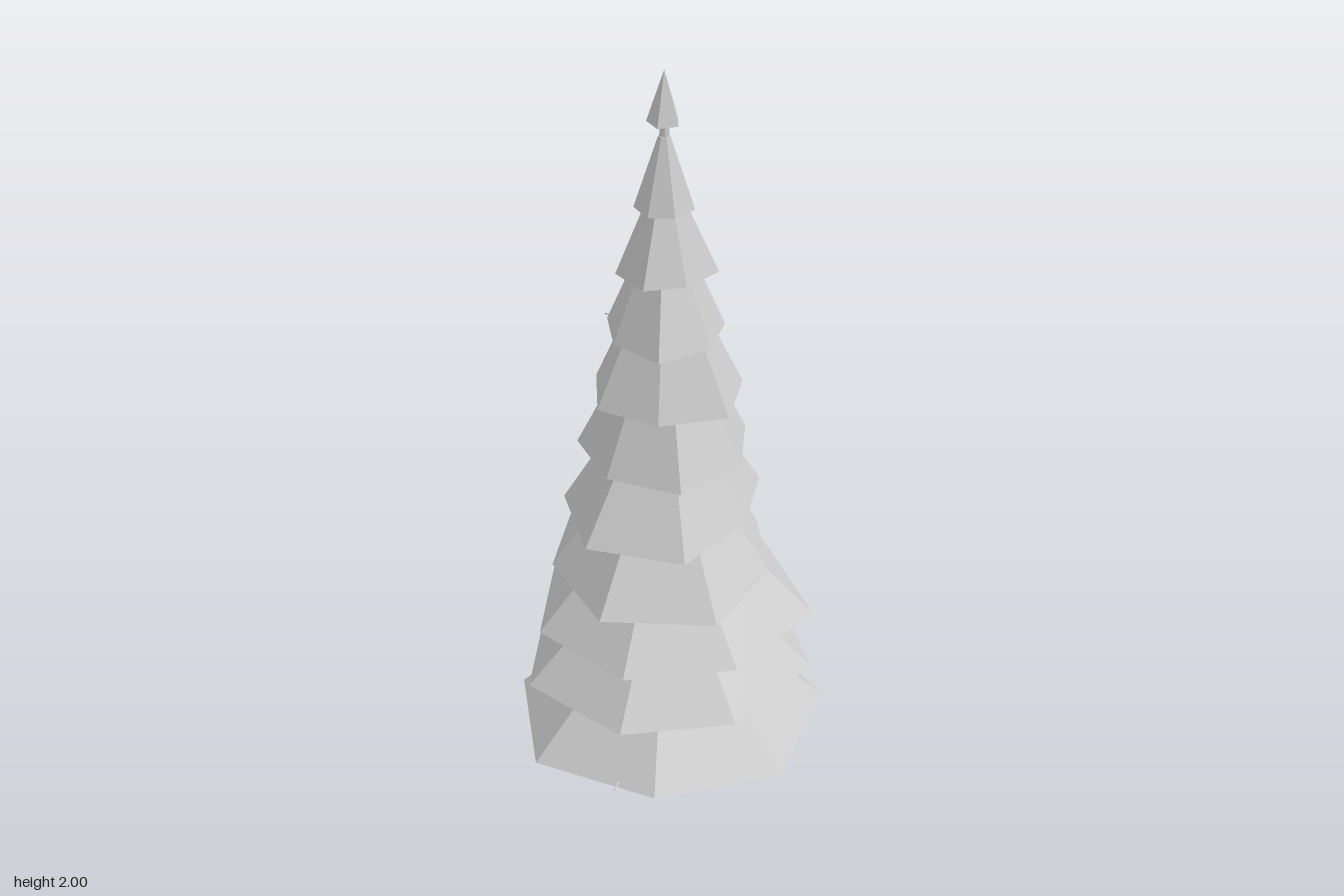
import * as THREE from 'three';

const CX = -0.025, CZ = 0.02; // trunk axis
const mat = new THREE.MeshStandardMaterial({ color: 0xcccccc, flatShading: true });

// Closed, irregular frustum: radii at even angles (degrees from +x towards +z)
function tierGeometry(y0, y1, topScale, startDeg, radii) {
  const n = radii.length, pos = [];
  const ring = (y, s) => radii.map((r, i) => {
    const a = THREE.MathUtils.degToRad(startDeg + i * 360 / n);
    return [r * s * Math.cos(a), y, r * s * Math.sin(a)];
  });
  const b = ring(y0, 1), t = ring(y1, topScale);
  const cb = [0, y0, 0], ct = [0, y1, 0];
  for (let i = 0; i < n; i++) {
    const j = (i + 1) % n;
    pos.push(...b[i], ...t[i], ...b[j], ...cb, ...b[i], ...b[j]);
    if (topScale > 0) pos.push(...t[i], ...t[j], ...b[j], ...ct, ...t[j], ...t[i]);
  }
  const g = new THREE.BufferGeometry();
  g.setAttribute('position', new THREE.Float32BufferAttribute(pos, 3));
  g.computeVertexNormals();
  return g;
}

// Tapered rod between two points
function rod(name, from, to, r0, r1, sides) {
  const a = new THREE.Vector3(...from), b = new THREE.Vector3(...to);
  const d = b.clone().sub(a);
  const m = new THREE.Mesh(new THREE.CylinderGeometry(r1, r0, d.length(), sides), mat);
  m.position.copy(a).add(b).multiplyScalar(0.5);
  m.quaternion.setFromUnitVectors(new THREE.Vector3(0, 1, 0), d.normalize());
  m.name = name;
  return m;
}

export function createModel() {
  const tree = new THREE.Group();
  tree.name = 'tree';
  const body = new THREE.Group();
  body.name = 'treeBody';
  body.position.set(CX, 0, CZ);
  tree.add(body);

  // Foliage tiers: bottom y, top y, top scale, start angle, corner radii
  const tiers = [
    [0.172, 0.36, 0.54, 1, [0.41, 0.403, 0.365, 0.398, 0.391, 0.388, 0.437]],
    [0.34, 0.525, 0.54, 16, [0.374, 0.33, 0.34, 0.366, 0.372, 0.4, 0.41]],
    [0.505, 0.68, 0.56, 15, [0.374, 0.325, 0.33, 0.335, 0.335, 0.34, 0.376]],
    [0.665, 0.85, 0.56, 25.7, [0.27, 0.329, 0.328, 0.285, 0.316, 0.328, 0.282]],
    [0.83, 1.015, 0.56, 38.5, [0.224, 0.285, 0.288, 0.251, 0.238, 0.245, 0.256]],
    [0.995, 1.18, 0.58, 38.5, [0.21, 0.23, 0.21, 0.215, 0.241, 0.257, 0.215]],
    [1.16, 1.345, 0.55, 1.5, [0.19, 0.21, 0.183, 0.193, 0.175, 0.173, 0.185]],
    [1.325, 1.51, 0.48, 1.5, [0.145, 0.15, 0.168, 0.145, 0.145, 0.163, 0.165]],
    [1.49, 1.675, 0.36, 20, [0.13, 0.11, 0.126, 0.12, 0.106, 0.121, 0.114]],
    [1.655, 1.835, 0.2, 28, [0.075, 0.072, 0.075, 0.073, 0.066, 0.06, 0.07]],
    [1.87, 2.0, 0, -22, [0.037, 0.042, 0.042, 0.042, 0.04]],
  ];
  tiers.forEach((t, i) => {
    const m = new THREE.Mesh(tierGeometry(...t), mat);
    m.name = 'foliageTier' + (i + 1);
    body.add(m);
  });

  // Trunk: flared foot and a slim stem up to the tip
  body.add(rod('trunkFoot', [0, 0.012, 0], [0, 0.2, 0], 0.054, 0.036, 8));
  body.add(rod('trunkStem', [0, 0.2, 0], [0, 1.9, 0], 0.036, 0.011, 8));

  // Roots spreading over the ground
  const rootCount = 5;
  for (let i = 0; i < rootCount; i++) {
    const a = 0.2 + i * 2 * Math.PI / rootCount, c = Math.cos(a), s = Math.sin(a);
    body.add(rod('root' + (i + 1), [c * 0.03, 0.05, s * 0.03], [c * 0.11, 0.015, s * 0.11], 0.017, 0.011, 5));
  }

  // Thin twigs poking out beneath the foliage: angle, height, reach
  const twigs = [[120, 0.19, 0.36], [241, 0.335, 0.36], [-47.5, 0.985, 0.24], [224, 1.315, 0.175]];
  twigs.forEach(([deg, y, r], i) => {
    const a = THREE.MathUtils.degToRad(deg);
    body.add(rod('twig' + (i + 1), [0, y + 0.01, 0], [r * Math.cos(a), y - 0.01, r * Math.sin(a)], 0.005, 0.002, 4));
  });
  return tree;
}
